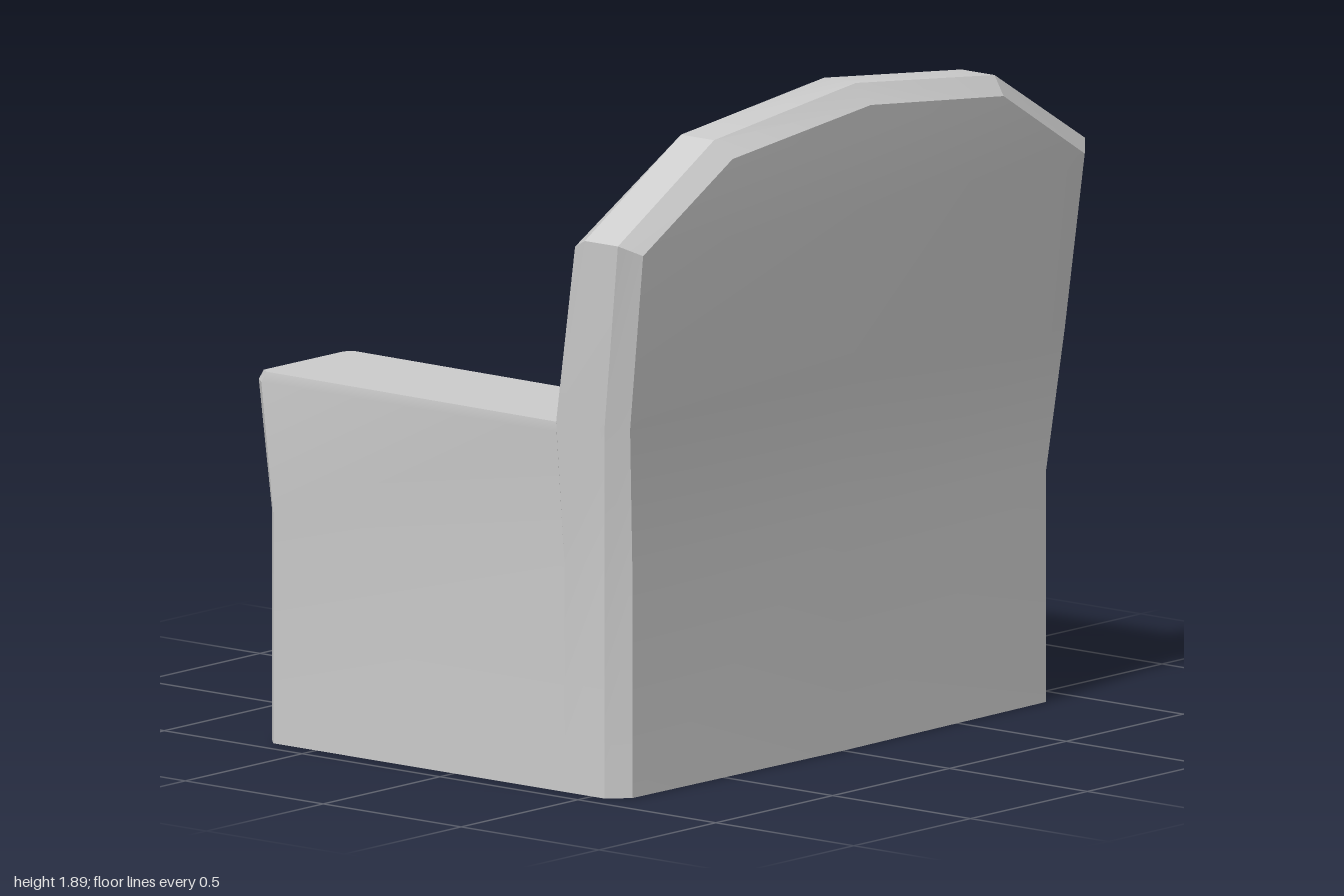
import * as THREE from 'three';
import { toCreasedNormals } from 'three/addons/utils/BufferGeometryUtils.js';

const material = new THREE.MeshStandardMaterial({ color: 0xcccccc });

function addMesh(parent, name, geometry) {
  const mesh = new THREE.Mesh(toCreasedNormals(geometry, 0.3), material);
  mesh.name = name;
  parent.add(mesh);
  return mesh;
}

// Closed solid through rings of [x, y, z], listed from bottom to top,
// each running counter-clockwise as seen from above.
function loft(rings) {
  const positions = [];
  const tri = (...corners) => {
    const t = new THREE.Triangle(...corners.map(c => new THREE.Vector3(...c)));
    if (t.getArea() > 1e-7) corners.forEach(c => positions.push(...c));
  };
  const n = rings[0].length;
  for (let r = 0; r < rings.length - 1; r++) {
    for (let i = 0; i < n; i++) {
      const j = (i + 1) % n, a = rings[r], b = rings[r + 1];
      tri(a[i], a[j], b[j]);
      tri(a[i], b[j], b[i]);
    }
  }
  const bottom = rings[0], top = rings[rings.length - 1];
  for (let i = 1; i < n - 1; i++) {
    tri(bottom[0], bottom[i + 1], bottom[i]);
    tri(top[0], top[i], top[i + 1]);
  }
  const geometry = new THREE.BufferGeometry();
  geometry.setAttribute('position', new THREE.Float32BufferAttribute(positions, 3));
  return geometry;
}

// Level ring from [x, z] pairs
const level = (y, plan) => plan.map(([x, z]) => [x, y, z]);
const mirrorRing = ring => ring.map(([x, y, z]) => [-x, y, z]).reverse();

export function createModel() {
  const chair = new THREE.Group();
  chair.name = 'armchair';

  // Backrest: flared slab with bevelled edges and an arched top, bowed along its width.
  // o: outer edge, f: front face edge, b: rear face edge; fz and bz: bow at the middle
  const rows = [
    { f: [0.94, 0, 0.40], of: 0.40, o: [0.94, 0], ob: 0.545, b: [0.885, 0, 0.60], fz: 0.40, bz: 0.615 },
    { f: [0.94, 0.65, 0.40], of: 0.40, o: [0.94, 0.65], ob: 0.545, b: [0.885, 0.65, 0.60], fz: 0.40, bz: 0.615 },
    { f: [0.975, 1.05, 0.40], of: 0.40, o: [0.975, 1.05], ob: 0.575, b: [0.93, 1.05, 0.63], fz: 0.405, bz: 0.645 },
    { f: [0.965, 1.55, 0.46], of: 0.525, o: [1, 1.58], ob: 0.645, b: [0.945, 1.55, 0.69], fz: 0.47, bz: 0.70 },
    { f: [0.58, 1.77, 0.48], of: 0.535, o: [0.6, 1.82], ob: 0.655, b: [0.58, 1.77, 0.705], fz: 0.483, bz: 0.712 },
    { f: [0, 1.835, 0.485], of: 0.545, o: [0, 1.89], ob: 0.66, b: [0, 1.835, 0.715], fz: 0.485, bz: 0.715 },
  ];
  const backRings = rows.map(({ f, of, o, ob, b, fz, bz }) => [
    f, [0, f[1], fz], [-f[0], f[1], f[2]],
    [-o[0], o[1], of], [-o[0], o[1], ob],
    [-b[0], b[1], b[2]], [0, b[1], bz], b,
    [o[0], o[1], ob], [o[0], o[1], of],
  ]);
  addMesh(chair, 'backrest', loft(backRings));

  // Arms: straight below, flaring outward above the seat, bevelled front edges
  const lowerPlan = [[0.94, 0.40], [0.94, -0.655], [0.91, -0.685], [0.58, -0.68], [0.555, -0.65], [0.545, 0.40]];
  const armRings = [
    level(0, lowerPlan),
    level(0.65, lowerPlan),
    level(1.02, [[0.973, 0.40], [0.962, -0.68], [0.935, -0.712], [0.605, -0.707], [0.578, -0.68], [0.593, 0.40]]),
    level(1.05, [[0.975, 0.40], [0.957, -0.665], [0.94, -0.69], [0.6, -0.687], [0.578, -0.665], [0.595, 0.40]]),
  ];
  addMesh(chair, 'leftArm', loft(armRings));
  addMesh(chair, 'rightArm', loft(armRings.map(mirrorRing)));

  // Seat block between the arms, with a bevelled front edge
  const seatPlan = inset => [[0.58, 0.40], [0.58, -0.68 + inset], [0, -0.672 + inset],
    [-0.58, -0.68 + inset], [-0.58, 0.40]];
  addMesh(chair, 'seat', loft([level(0, seatPlan(0)), level(0.64, seatPlan(0)), level(0.665, seatPlan(0.03))]));

  // Cushion: bevelled slab with cut corners, leaning on the backrest
  const w = 0.465, h = 0.33, c = 0.035;
  const outline = new THREE.Shape([
    [w, -h + c], [w, h - c], [w - c, h], [-w + c, h],
    [-w, h - c], [-w, -h + c], [-w + c, -h], [w - c, -h],
  ].map(p => new THREE.Vector2(...p)));
  const cushionGeometry = new THREE.ExtrudeGeometry(outline, {
    depth: 0.045, bevelThickness: 0.03, bevelSize: 0.03, bevelSegments: 1,
  });
  cushionGeometry.translate(0, 0, -0.0225);
  const cushion = addMesh(chair, 'cushion', cushionGeometry);
  cushion.position.set(0, 1.03, 0.267);
  cushion.rotation.set(0.395, 0.012, 0);

  return chair;
}
